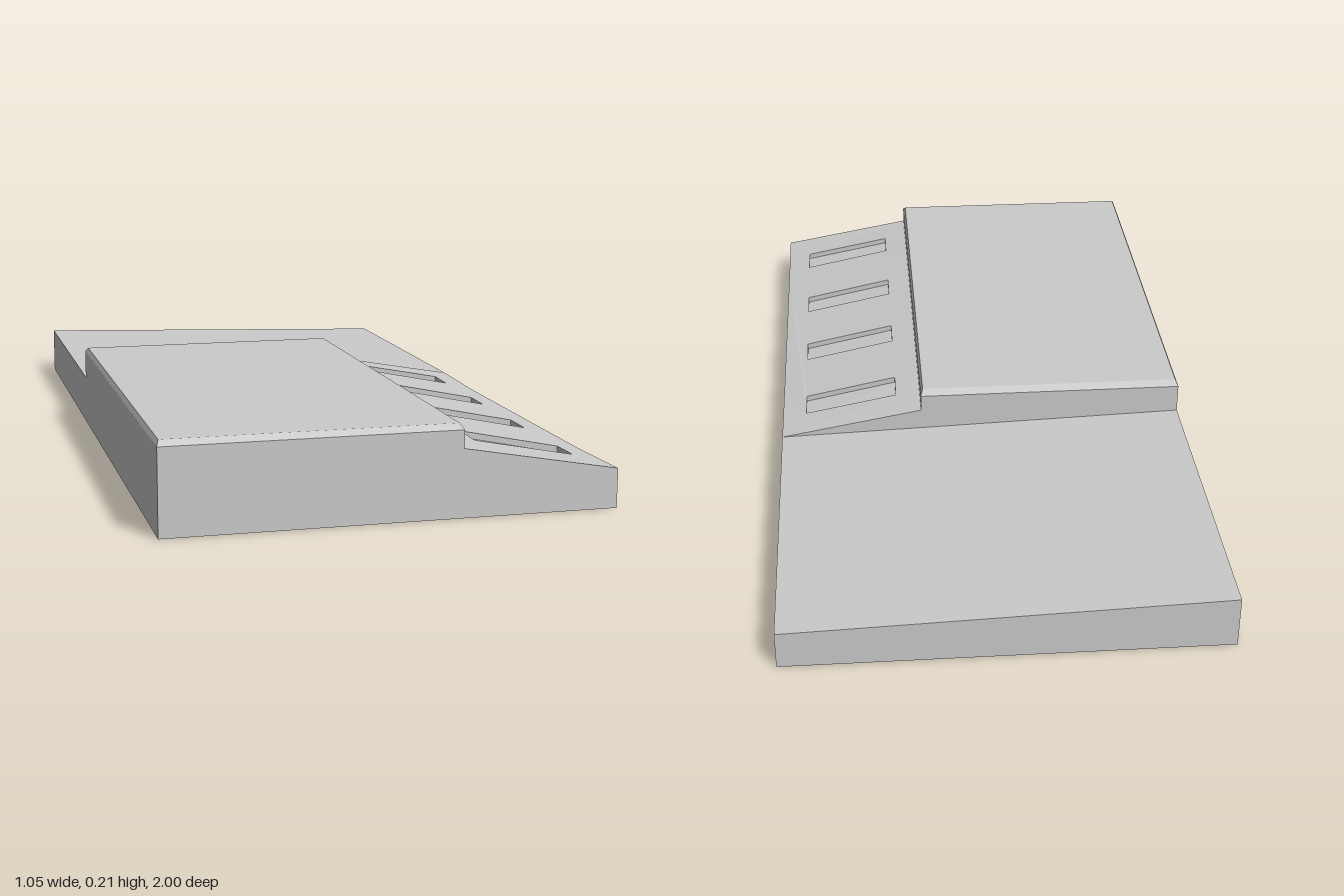
import * as THREE from 'three';

const W = 0.523, STEP = 0.157, BACK = -0.18, FRONT = 1;
const BOW = [0.04, 0.77]; // stretch of z where the ramp is bowed

// Ramp height: slopes down towards +x, slightly steeper in the middle
function rampY(x, z) {
  const k = THREE.MathUtils.clamp(Math.min((z - BACK) / (BOW[0] - BACK), (FRONT - z) / (FRONT - BOW[1])), 0, 1);
  const t = (x - STEP) / (W - STEP);
  return THREE.MathUtils.lerp(0.158 + 0.006 * k, 0.092 - 0.005 * k, t);
}

// Move the vertices of a geometry by a rule
function reshape(geo, rule) {
  const p = geo.attributes.position, v = new THREE.Vector3();
  for (let i = 0; i < p.count; i++) {
    rule(v.fromBufferAttribute(p, i));
    p.setXYZ(i, v.x, v.y, v.z);
  }
  geo.computeVertexNormals();
  return geo;
}

export function createModel() {
  const model = new THREE.Group();
  const mat = new THREE.MeshStandardMaterial({ color: 0xcccccc, flatShading: true });
  const add = (name, geo) => {
    const mesh = new THREE.Mesh(geo, mat);
    mesh.name = name;
    model.add(mesh);
  };

  // Low rear deck, tilted down towards +x
  const profile = new THREE.Shape([[-W, 0], [W, 0], [W, 0.092], [-W, 0.127]].map(p => new THREE.Vector2(...p)));
  const deck = new THREE.ExtrudeGeometry(profile, { depth: BACK + 1, bevelEnabled: false });
  add('rearDeck', deck.translate(0, 0, -1));

  // Raised block with a chamfered top rim
  const width = STEP + W, length = FRONT - BACK;
  const block = reshape(new THREE.BoxGeometry(width, 2, length, 1, 2, 1), v => {
    if (v.y > 0.5) {
      v.x -= Math.sign(v.x) * 0.006;
      v.z -= Math.sign(v.z) * 0.018;
    }
    v.y = v.y > 0.5 ? 0.212 : v.y > -0.5 ? 0.2 : 0;
  });
  add('raisedBlock', block.translate((STEP - W) / 2, 0, (FRONT + BACK) / 2));

  // Ramp outline drawn in plan, with one opening per slot
  const plan = (x, z) => new THREE.Vector2(x, -z);
  const outline = new THREE.Shape([
    plan(STEP, FRONT), plan(W, FRONT), plan(W, BOW[1]), plan(W, BOW[0]),
    plan(W, BACK), plan(STEP, BACK), plan(STEP, BOW[0]), plan(STEP, BOW[1]),
  ]);
  const x0 = 0.22, x1 = 0.46, slotLength = 0.09;
  const slots = [-0.08, 0.215, 0.505, 0.8];
  for (const z of slots) {
    const e = z + slotLength;
    outline.holes.push(new THREE.Path([plan(x0, e), plan(x0, z), plan(x1, z), plan(x1, e)]));
  }
  const ramp = new THREE.ExtrudeGeometry(outline, { depth: 1, bevelEnabled: false }).rotateX(-Math.PI / 2);
  add('ramp', reshape(ramp, v => { v.y = v.y > 0.5 ? rampY(v.x, v.z) : 0; }));

  // Sunken floors that fill the slots up to just below the ramp
  for (const z of slots) {
    const floor = new THREE.BoxGeometry(x1 - x0, 1, slotLength).translate((x0 + x1) / 2, 0, z + slotLength / 2);
    add('slotFloor', reshape(floor, v => { v.y = v.y > 0 ? rampY(v.x, v.z) - 0.015 : 0; }));
  }
  return model;
}
